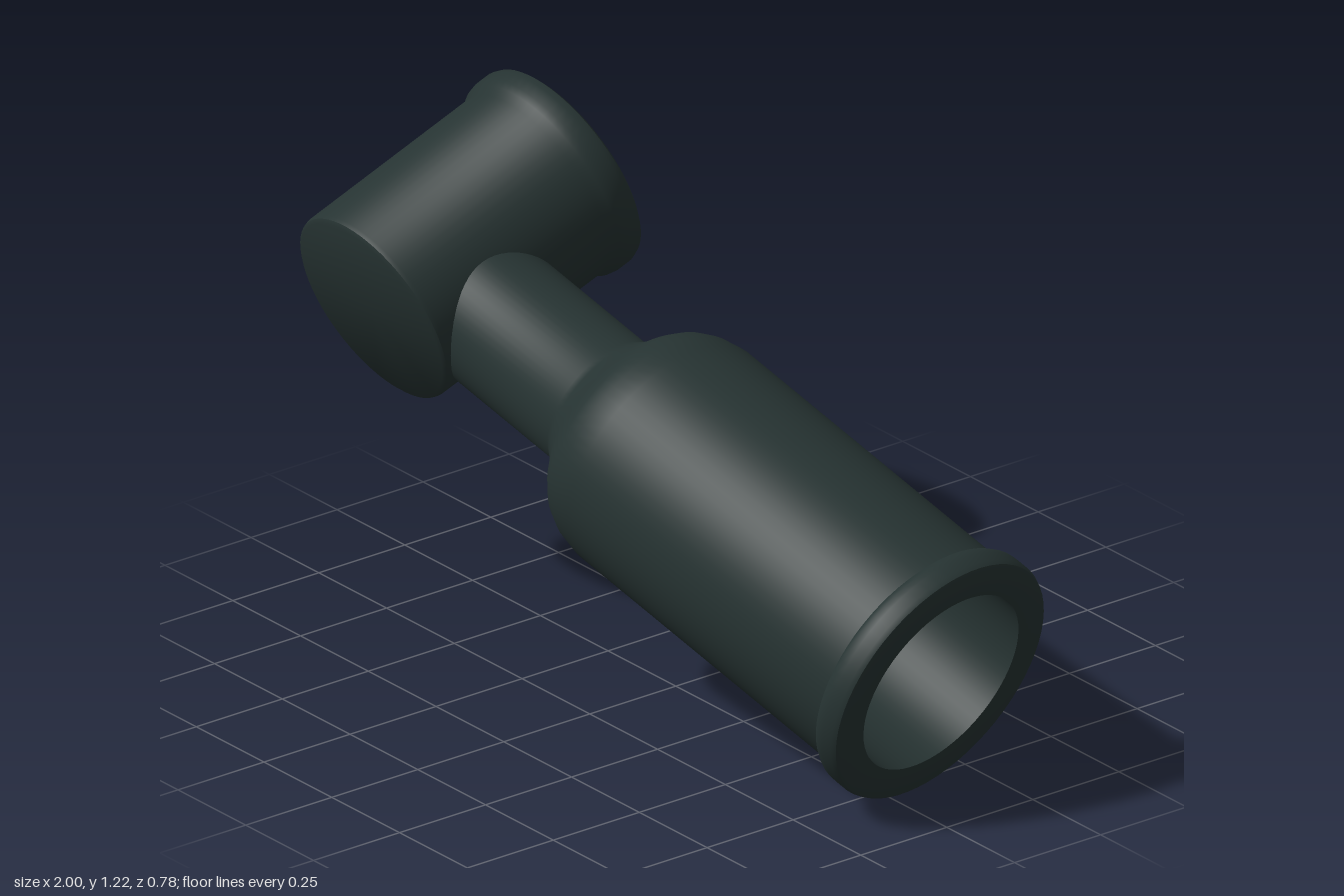
import * as THREE from 'three';
import { toCreasedNormals } from 'three/addons/utils/BufferGeometryUtils.js';

const BORE = 0.155;   // radius of the short socket's bore
const PORT = 0.12;    // radius of the passage through the neck
const BACK = -0.415, FLOOR = 0.14; // ends of the short bore

const lathe = (pts, segs = 64, start = 0, len = Math.PI * 2) =>
  new THREE.LatheGeometry(pts.map(([r, h]) => new THREE.Vector2(r, h)), segs, start, len);
const crease = (g) => toCreasedNormals(g, 0.6);

// Half of the short bore's wall, with a round port where the neck enters
function portWall() {
  const N = 48, M = 6, pos = [], idx = [];
  for (let j = 0; j <= M; j++) {
    for (let i = 0; i <= N; i++) {
      const a = (i / N) * Math.PI * 2, s = Math.sin(a), c = Math.cos(a);
      const m = Math.max(Math.abs(s), Math.abs(c)), k = j / M;
      const v = c / m;
      const theta = THREE.MathUtils.lerp(Math.asin(PORT * s / BORE), (s / m) * Math.PI / 2, k);
      const z = THREE.MathUtils.lerp(PORT * c, v > 0 ? v * FLOOR : -v * BACK, k);
      pos.push(BORE * Math.cos(theta), BORE * Math.sin(theta), z);
    }
  }
  for (let j = 0; j < M; j++) {
    for (let i = 0; i < N; i++) {
      const p = j * (N + 1) + i, q = p + N + 1;
      idx.push(p, q, p + 1, p + 1, q, q + 1);
    }
  }
  const g = new THREE.BufferGeometry();
  g.setAttribute('position', new THREE.Float32BufferAttribute(pos, 3));
  g.setIndex(idx);
  g.computeVertexNormals();
  return g;
}

export function createModel() {
  const rubber = new THREE.MeshStandardMaterial({ color: 0x263332 });
  rubber.name = 'dark rubber';
  const model = new THREE.Group();
  model.name = 'elbowBoot';
  const add = (name, geometry) => {
    const mesh = new THREE.Mesh(geometry, rubber);
    mesh.name = name;
    model.add(mesh);
  };

  // Neck, shoulder, long barrel, rim, bore and passage: one turned profile along x
  const barrel = lathe([
    [0.17, 0.165], [0.17, 0.575], [0.185, 0.598], [0.212, 0.63], [0.248, 0.66],
    [0.274, 0.69], [0.292, 0.73], [0.302, 0.785], [0.302, 1.635],
    [0.318, 1.645], [0.326, 1.66], [0.327, 1.675], [0.327, 1.705], [0.322, 1.717], [0.314, 1.721],
    [0.24, 1.721], [0.238, 0.95], [0.225, 0.86], [0.19, 0.805], [PORT, 0.77], [PORT, BORE],
  ]).rotateZ(-Math.PI / 2);
  // Fit the inner end of the passage to the short bore
  const p = barrel.attributes.position;
  for (let i = 0; i < p.count; i++) {
    if (p.getX(i) < 0.16) p.setX(i, Math.sqrt(BORE ** 2 - p.getY(i) ** 2));
  }
  add('neckAndBarrel', crease(barrel));

  // Short socket: rimmed back, plain body, closed front
  add('socketBody', crease(lathe([
    [BORE, BACK], [0.25, BACK], [0.261, -0.408], [0.267, -0.392], [0.267, -0.36],
    [0.263, -0.342], [0.25, -0.32], [0.25, 0.172], [0.247, 0.182], [0.238, 0.188], [0, 0.188],
  ]).rotateX(Math.PI / 2)));
  add('socketBoreFloor', lathe([[0, FLOOR], [BORE, FLOOR]]).rotateX(Math.PI / 2));
  add('socketBoreWall', lathe([[BORE, FLOOR], [BORE, BACK]], 32, Math.PI, Math.PI).rotateX(Math.PI / 2));
  add('socketPortWall', portWall());

  // Tilt: x runs along the barrel, z along the short socket
  const x = new THREE.Vector3(0.9447, -0.307, -0.1153).normalize();
  const z = new THREE.Vector3(0, -0.3505, 0.9366);
  const y = new THREE.Vector3().crossVectors(z, x).normalize();
  z.crossVectors(x, y);
  model.quaternion.setFromRotationMatrix(new THREE.Matrix4().makeBasis(x, y, z));
  model.position.set(-0.733, 0.84, 0.131);

  const root = new THREE.Group();
  root.name = 'pipeElbow';
  root.add(model);
  return root;
}
